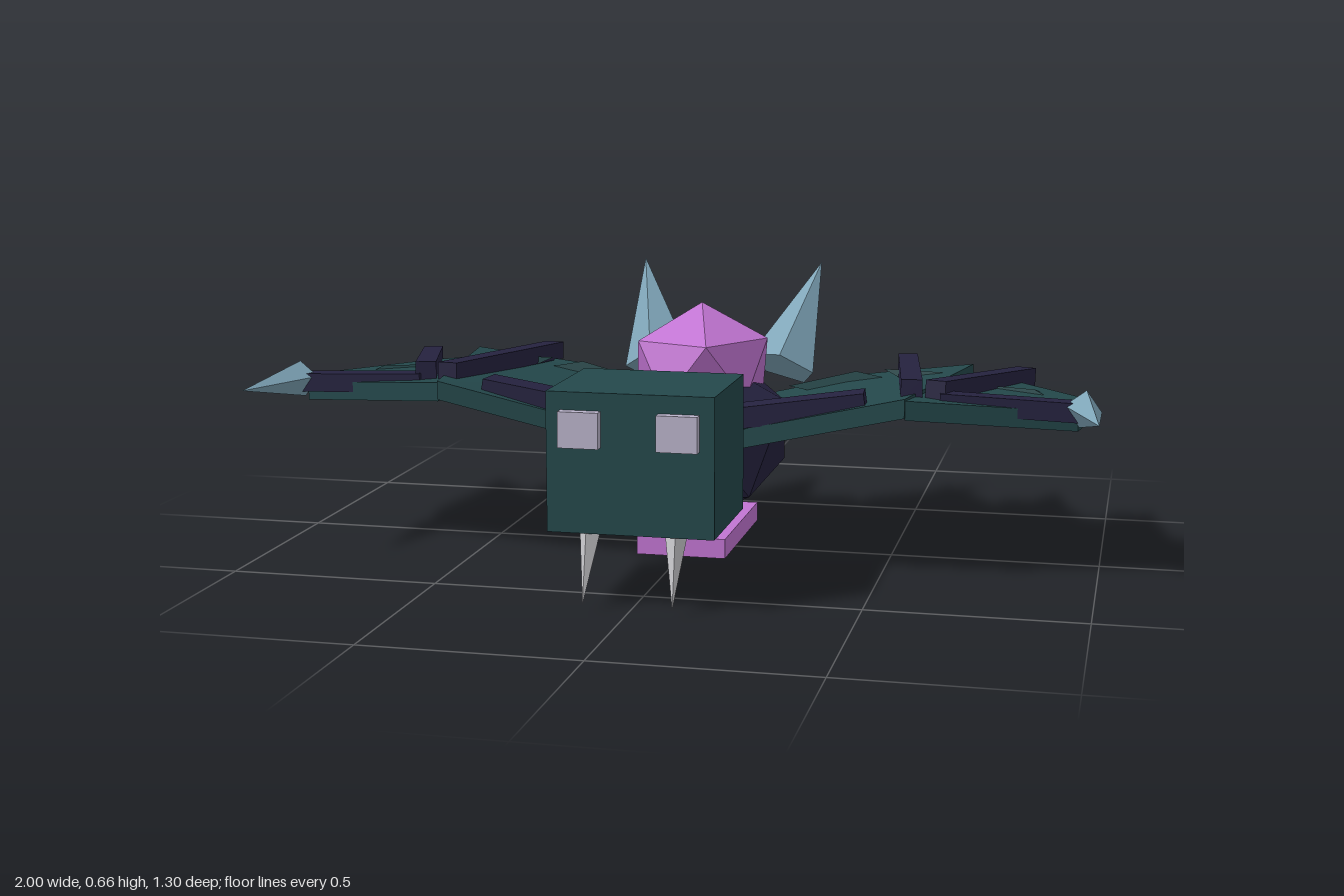
import * as THREE from 'three';

const mat = (name, color) => Object.assign(new THREE.MeshStandardMaterial({ color, flatShading: true }), { name });

export function createModel() {
  const model = new THREE.Group();
  model.name = 'wingedCreature';
  const green = mat('deep teal', 0x24484b);
  const navy = mat('dark indigo', 0x25223f);
  const pink = mat('orchid', 0xc275d3);
  const blue = mat('horn blue', 0x7fa5b8);
  const lavender = mat('pale lavender', 0xbab4cb);
  const ivory = mat('fang grey', 0xc6c6ca);
  const UP = new THREE.Vector3(0, 1, 0);

  function add(name, geo, material, parent = model) {
    const mesh = new THREE.Mesh(geo, material);
    mesh.name = name;
    parent.add(mesh);
    return mesh;
  }
  const box = (name, w, h, d, x, y, z, material) =>
    add(name, new THREE.BoxGeometry(w, h, d).translate(x, y, z), material);

  // Upright icosahedron: two poles and two rings of five, stretched per axis
  function gem(name, rx, ry, rz, x, y, z, material) {
    const h = 1 / Math.sqrt(5), r = 2 * h;
    const pos = [0, 1, 0], idx = [];
    for (let i = 0; i < 10; i++) {
      const a = (i * Math.PI) / 5;
      pos.push(r * Math.cos(a), i % 2 ? -h : h, r * Math.sin(a));
    }
    pos.push(0, -1, 0);
    const v = (i) => 1 + (i % 10);
    for (let i = 0; i < 10; i += 2) {
      idx.push(0, v(i + 2), v(i), v(i), v(i + 2), v(i + 1));
      idx.push(v(i + 1), v(i + 2), v(i + 3), 11, v(i + 1), v(i + 3));
    }
    const geo = new THREE.BufferGeometry();
    geo.setAttribute('position', new THREE.Float32BufferAttribute(pos, 3));
    geo.setIndex(idx);
    geo.scale(rx, ry, rz).translate(x, y, z);
    const flat = geo.toNonIndexed();
    flat.computeVertexNormals();
    return add(name, flat, material);
  }

  // Cone from a base centre to a tip, optionally flattened
  function spike(name, base, tip, r, sides, material, parent, flat = 1) {
    const a = new THREE.Vector3(...base), b = new THREE.Vector3(...tip);
    const dir = b.clone().sub(a), len = dir.length();
    const geo = new THREE.ConeGeometry(r, len, sides).scale(1, 1, flat).translate(0, len / 2, 0);
    const mesh = add(name, geo, material, parent);
    mesh.quaternion.setFromUnitVectors(UP, dir.normalize());
    mesh.position.copy(a);
    return mesh;
  }

  // Square bar between two points
  function bar(name, from, to, w, h, parent) {
    const a = new THREE.Vector3(...from), b = new THREE.Vector3(...to);
    const mesh = add(name, new THREE.BoxGeometry(w, h, a.distanceTo(b)), navy, parent);
    mesh.position.copy(a).lerp(b, 0.5);
    mesh.lookAt(b);
    return mesh;
  }

  // Slab with an outline in x and z whose underside follows a height rule
  function slab(name, s, outline, thick, height, parent) {
    const shape = new THREE.Shape(outline.map(([x, z]) => new THREE.Vector2(s * x, -z)));
    const geo = new THREE.ExtrudeGeometry(shape, { depth: thick, bevelEnabled: false });
    geo.rotateX(-Math.PI / 2);
    const p = geo.attributes.position;
    for (let i = 0; i < p.count; i++) p.setY(i, p.getY(i) + height(Math.abs(p.getX(i)), p.getZ(i)));
    geo.computeVertexNormals();
    return add(name, geo, green, parent);
  }

  // Body, back crystal and base plate
  gem('body', 0.25, 0.217, 0.447, 0, 0.267, -0.05, navy);
  gem('backCrystal', 0.187, 0.154, 0.223, 0, 0.441, -0.11, pink);
  box('basePlate', 0.22, 0.048, 0.412, 0, 0.024, -0.078, pink);

  // Head
  box('head', 0.38, 0.317, 0.317, 0, 0.3285, 0.462, green);

  for (const s of [1, -1]) {
    const side = s > 0 ? 'left' : 'right';
    const m = (x, y, z) => [s * x, y, z];

    // Face and horns
    box(side + 'Eye', 0.092, 0.081, 0.05, s * 0.111, 0.406, 0.62, lavender);
    spike(side + 'Fang', m(0.098, 0.185, 0.588), m(0.102, 0.015, 0.65), 0.027, 4, ivory, model);
    spike(side + 'Horn', m(0.165, 0.4, -0.335), m(0.24, 0.66, -0.49), 0.09, 5, blue, model);

    const wing = new THREE.Group();
    wing.name = side + 'Wing';
    model.add(wing);

    // Membranes: the inner rises to the elbow, the outer falls to the tip
    slab('innerMembrane', s, [[0.12, 0.26], [0.56, 0.29], [0.66, -0.33], [0.38, -0.39], [0.14, -0.4]],
      0.045, (x, z) => 0.295 + 0.1 * Math.min(1, (x - 0.14) / 0.42) + 0.03 * Math.min(0, z - 0.1), wing);
    slab('outerMembrane', s, [[0.56, 0.285], [0.945, 0.16], [0.972, -0.065], [0.78, -0.25], [0.62, -0.31]],
      0.045, (x, z) => 0.39 - 0.085 * (x - 0.56) + 0.05 * Math.min(0, z - 0.1), wing);

    // Trailing spikes
    spike('outerSpike', m(0.822, 0.38, -0.065), m(0.905, 0.325, -0.425), 0.152, 4, green, wing, 0.22);
    spike('middleSpike', m(0.58, 0.385, -0.24), m(0.655, 0.32, -0.6), 0.15, 4, green, wing, 0.22);
    spike('innerSpike', m(0.365, 0.365, -0.29), m(0.355, 0.314, -0.65), 0.175, 4, green, wing, 0.22);

    // Arm and finger bones
    bar('upperArm', m(0.16, 0.375, 0.235), m(0.46, 0.417, 0.21), 0.075, 0.05, wing);
    bar('forearm', m(0.63, 0.42, 0.19), m(0.955, 0.405, 0.17), 0.05, 0.045, wing);
    bar('outerFinger', m(0.62, 0.448, 0.2), m(0.793, 0.4, -0.335), 0.05, 0.045, wing);
    bar('innerFinger', m(0.565, 0.448, 0.2), m(0.48, 0.41, -0.43), 0.05, 0.045, wing);

    // Wing claw
    spike('claw', m(0.955, 0.412, 0.168), m(1.0, 0.422, 0.425), 0.044, 4, blue, wing);
  }
  return model;
}
